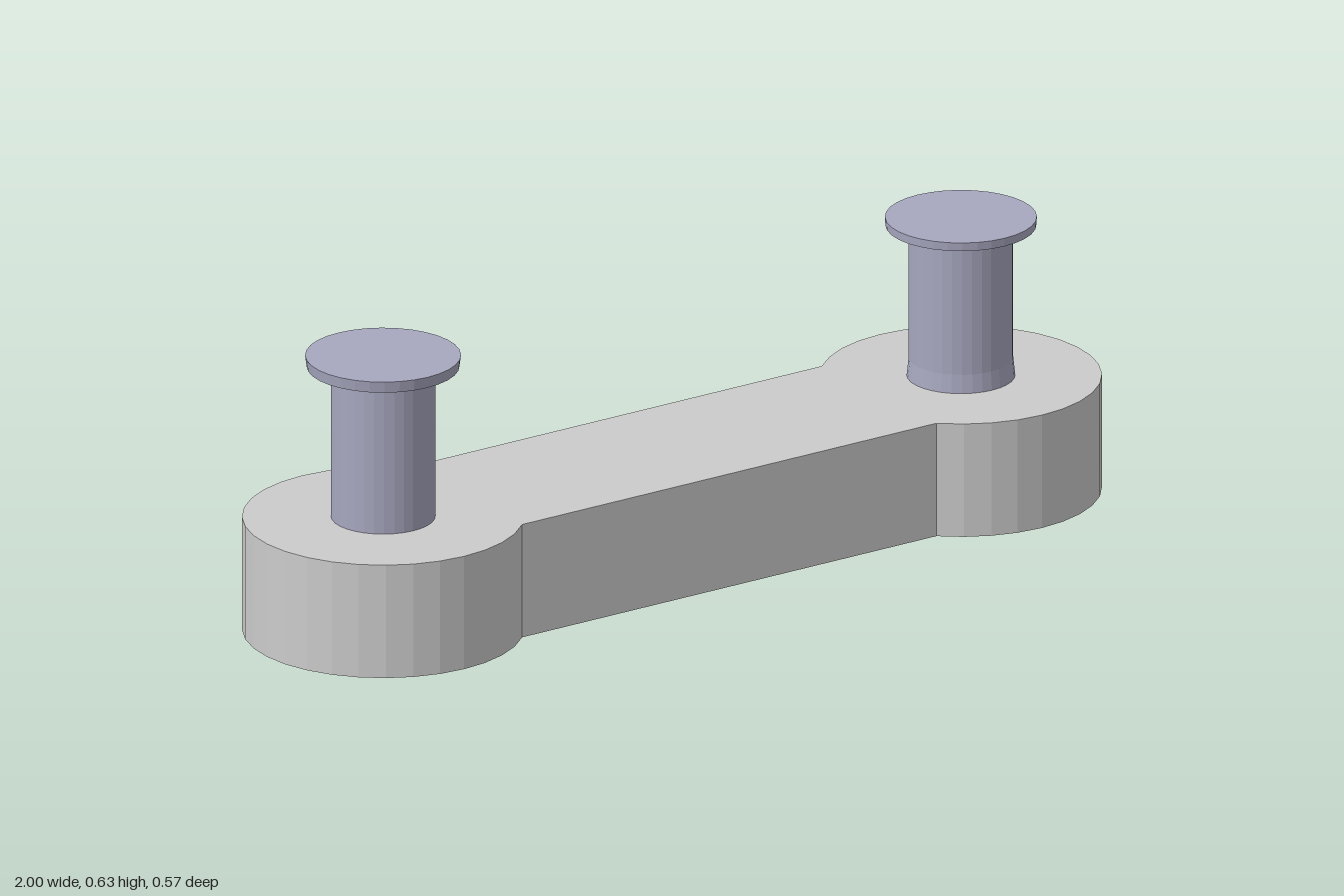
import * as THREE from 'three';

const SIDES = 32;
const PIN_X = 0.714;   // pin and eye centres
const EYE_R = 0.286;
const BAR_Y0 = 0.042, BAR_Y1 = 0.286;

// Dog-bone plate: two round eyes joined by a straight bar
function makeLink(material) {
  const points = [];
  for (const side of [1, -1]) {
    for (let i = 0; i <= 24; i++) {
      const a = -Math.PI * 0.75 + i * (2 * Math.PI / SIDES);
      points.push(new THREE.Vector2(
        side * (PIN_X + EYE_R * Math.cos(a)), side * EYE_R * Math.sin(a)));
    }
  }
  const geometry = new THREE.ExtrudeGeometry(new THREE.Shape(points), {
    depth: BAR_Y1 - BAR_Y0, bevelEnabled: false,
  });
  geometry.rotateX(-Math.PI / 2).translate(0, BAR_Y0, 0);
  const mesh = new THREE.Mesh(geometry, material);
  mesh.name = 'linkPlate';
  return mesh;
}

// Turned pin: profile of [radius, height] from bottom to top
function makePin(name, x, profile, material) {
  const geometry = new THREE.LatheGeometry(
    profile.map(([r, y]) => new THREE.Vector2(r, y)), SIDES);
  const mesh = new THREE.Mesh(geometry, material);
  mesh.position.x = x;
  mesh.name = name;
  return mesh;
}

export function createModel() {
  const grey = new THREE.MeshStandardMaterial({ color: 0xcccccc, flatShading: true });
  const steel = new THREE.MeshStandardMaterial({ color: 0xa7a7bf, flatShading: true });

  // Chamfered rivet end, shared by both pins
  const foot = [[0, 0], [0.107, 0], [0.152, BAR_Y0], [0.152, 0.06], [0.106, 0.06]];

  const group = new THREE.Group();
  group.name = 'chainLink';
  group.add(
    makeLink(grey),
    // Straight shaft with a flared flat head
    makePin('rightPin', -PIN_X, [...foot,
      [0.106, 0.595], [0.155, 0.61], [0.158, 0.634], [0, 0.634]], steel),
    // Slightly shorter pin with a flared collar at the plate
    makePin('leftPin', PIN_X, [...foot,
      [0.111, 0.27], [0.11, BAR_Y1], [0.106, 0.325],
      [0.106, 0.595], [0.153, 0.61], [0.154, 0.628], [0, 0.628]], steel),
  );
  return group;
}
